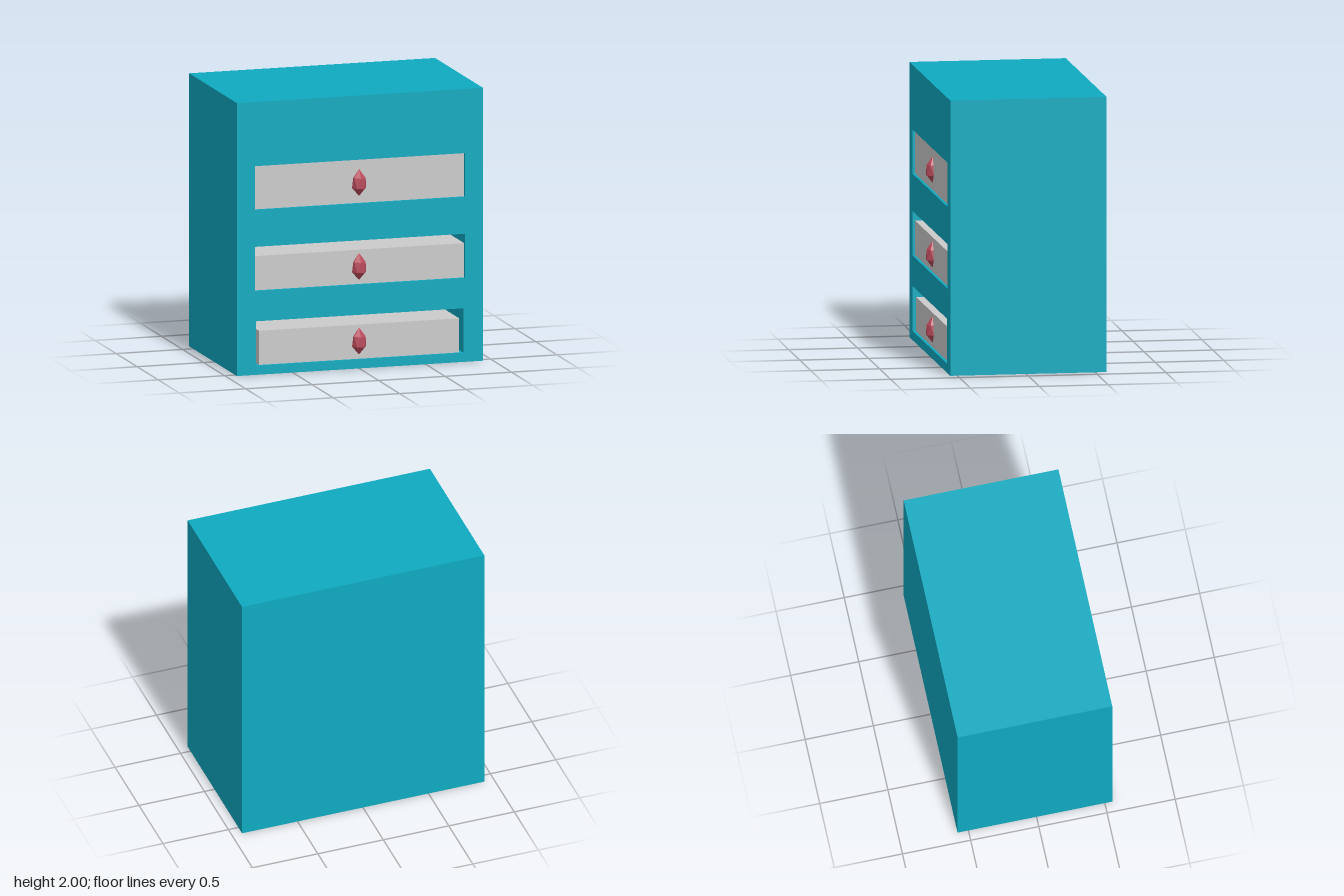
import * as THREE from 'three';
import { ConvexGeometry } from 'three/addons/geometries/ConvexGeometry.js';

const W = 0.925, BACK = -0.58, FRONT = 0.555, INNER = -0.43, DRAWER_FRONT = 0.535;

// openings: half width, bottom, top; drawers: half width, bottom, top; knob height
const ROWS = [
  { name: 'bottom', open: [0.78, 0.07, 0.395], drawer: [0.753, 0, 0.32], knobY: 0.2 },
  { name: 'middle', open: [0.79, 0.617, 0.94], drawer: [0.8, 0.6, 0.868], knobY: 0.745 },
  { name: 'top', open: [0.79, 1.21, 1.53], drawer: [0.8, 1.2, 1.54], knobY: 1.36 },
];

function rectangle(target, half, y0, y1) {
  target.moveTo(-half, y0);
  target.lineTo(half, y0);
  target.lineTo(half, y1);
  target.lineTo(-half, y1);
  target.closePath();
  return target;
}

function box(half, y0, y1, z0, z1, material, name) {
  const mesh = new THREE.Mesh(new THREE.BoxGeometry(2 * half, y1 - y0, z1 - z0), material);
  mesh.position.set(0, (y0 + y1) / 2, (z0 + z1) / 2);
  mesh.name = name;
  return mesh;
}

// six-sided gem: two staggered rings between a top and a bottom point
function gemGeometry() {
  const points = [new THREE.Vector3(0, 0.1, 0), new THREE.Vector3(0, -0.1, 0)];
  for (let i = 0; i < 6; i++) {
    const a = (i * Math.PI) / 3, b = a + Math.PI / 6;
    points.push(new THREE.Vector3(0.05 * Math.sin(a), 0.035, 0.047 * Math.cos(a)));
    points.push(new THREE.Vector3(0.053 * Math.sin(b), -0.04, 0.053 * Math.cos(b)));
  }
  return new ConvexGeometry(points);
}

export function createModel() {
  const group = new THREE.Group();
  group.name = 'chestOfDrawers';
  const teal = new THREE.MeshStandardMaterial({ color: 0x0faac1 });
  const grey = new THREE.MeshStandardMaterial({ color: 0xcccccc });
  const red = new THREE.MeshStandardMaterial({ color: 0xb84a5a, flatShading: true });

  // cabinet body with drawer openings; its base sits a hair above the lowest drawer
  const base = 0.003;
  const face = rectangle(new THREE.Shape(), W, base, 2);
  for (const row of ROWS) face.holes.push(rectangle(new THREE.Path(), ...row.open));
  const body = new THREE.Mesh(
    new THREE.ExtrudeGeometry(face, { depth: FRONT - INNER, bevelEnabled: false }), teal);
  body.position.z = INNER;
  body.name = 'cabinetBody';
  group.add(body, box(W, base, 2, BACK, INNER, teal, 'cabinetBack'));

  // drawers and their gem knobs
  const gem = gemGeometry();
  for (const row of ROWS) {
    group.add(box(...row.drawer, INNER, DRAWER_FRONT, grey, row.name + 'Drawer'));
    const knob = new THREE.Mesh(gem, red);
    knob.position.set(0, row.knobY, 0.533);
    knob.name = row.name + 'Knob';
    group.add(knob);
  }
  return group;
}
